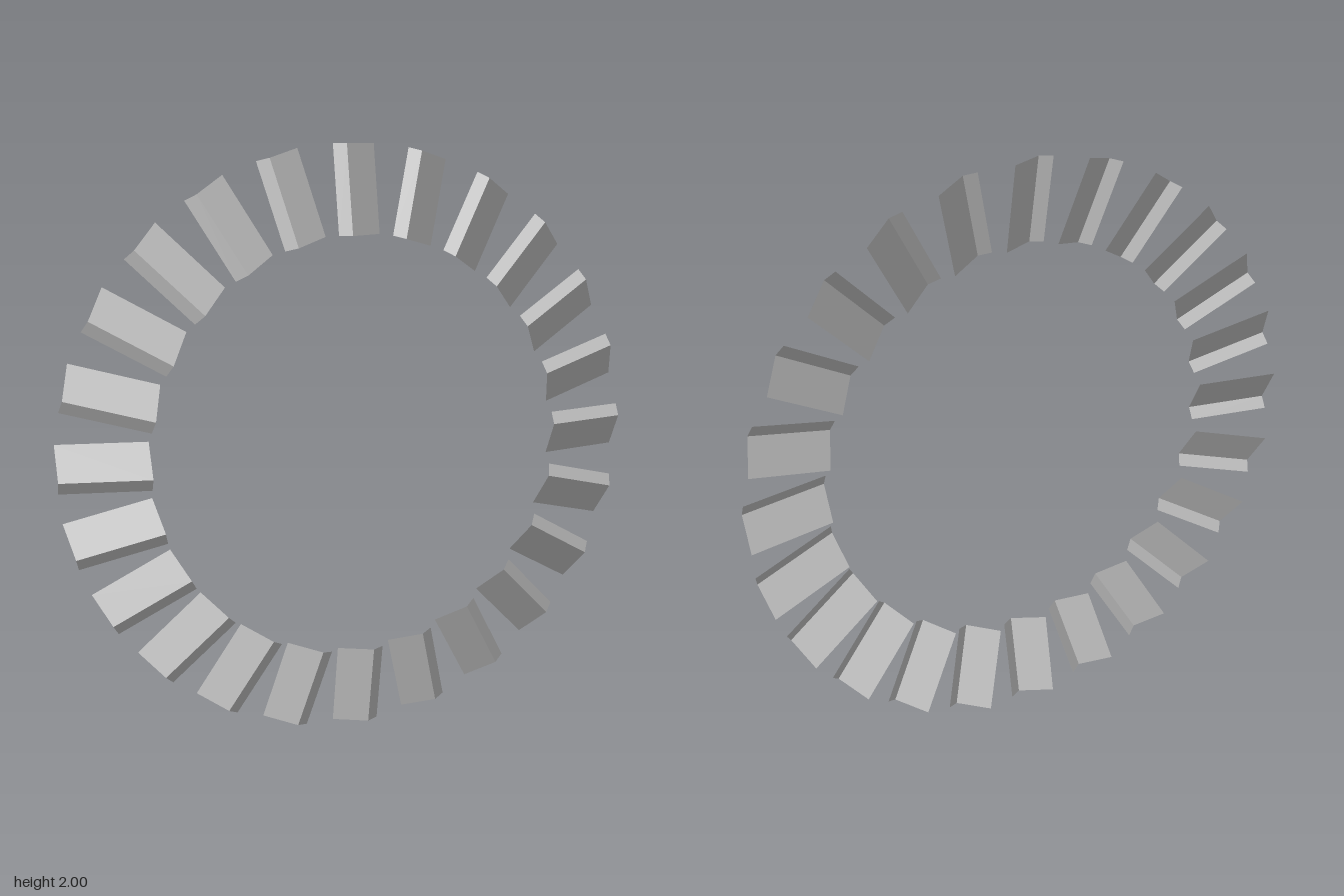
import * as THREE from 'three';

const COUNT = 24;
const INNER = 0.71, OUTER = 1.0;
const SLOPE = 0.057; // the inner end stands this much further forward

// Cross-section of one vane: narrow flap, ridge, wide panel [x, z at outer end]
const SECTION = [[-0.078, -0.022], [-0.038, 0], [0.075, -0.057]];

// Folded sheet swept from the outer end to the inner end
function vaneGeometry() {
  const pos = [];
  for (let i = 0; i < SECTION.length - 1; i++) {
    const [x0, z0] = SECTION[i], [x1, z1] = SECTION[i + 1];
    const a = [x0, INNER, z0 + SLOPE], b = [x1, INNER, z1 + SLOPE];
    const c = [x1, OUTER, z1], d = [x0, OUTER, z0];
    pos.push(...a, ...b, ...c, ...a, ...c, ...d);
  }
  const geo = new THREE.BufferGeometry();
  geo.setAttribute('position', new THREE.Float32BufferAttribute(pos, 3));
  geo.computeVertexNormals();
  return geo;
}

export function createModel() {
  const model = new THREE.Group();
  model.name = 'vaneRing';
  const material = new THREE.MeshStandardMaterial({
    color: 0xcccccc, flatShading: true, side: THREE.DoubleSide,
  });
  const geo = vaneGeometry();

  // Ring of identical vanes
  for (let i = 0; i < COUNT; i++) {
    const vane = new THREE.Mesh(geo, material);
    vane.name = `vane${i + 1}`;
    vane.position.y = 1;
    vane.rotation.z = (i / COUNT) * Math.PI * 2;
    model.add(vane);
  }
  return model;
}
